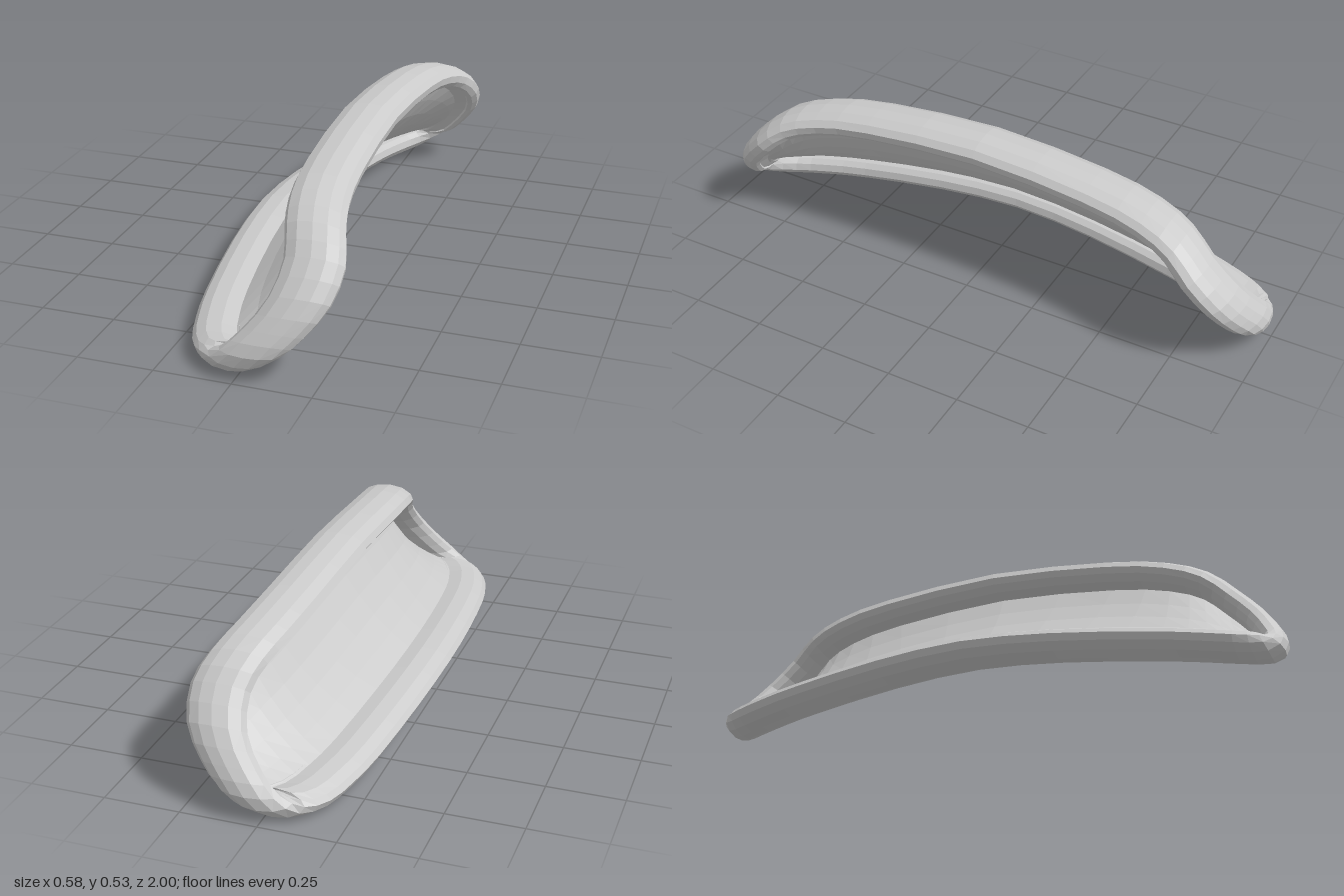
import * as THREE from 'three';

// Centre line of half the frame, from the top middle round the end to the bottom middle
const half = [
  [0.105, 0.49, 0], [0.115, 0.465, 0.4], [0.135, 0.435, 0.6], [0.165, 0.395, 0.72],
  [0.19, 0.33, 0.8], [0.17, 0.24, 0.88], [0.105, 0.15, 0.93], [0.04, 0.09, 0.953],
  [-0.03, 0.055, 0.935], [-0.085, 0.046, 0.86], [-0.12, 0.055, 0.75], [-0.15, 0.07, 0.6],
  [-0.183, 0.1, 0.3], [-0.197, 0.115, 0],
].map(p => new THREE.Vector3(...p));
const mirrored = half.slice(1, -1).reverse().map(p => new THREE.Vector3(p.x, p.y, -p.z));
const count = half.length + mirrored.length;
const path = new THREE.CatmullRomCurve3([...half, ...mirrored], true, 'catmullrom', 0.5);

// Frame cross-section: depth along x, and distance outward from the centre line
const section = [
  [-0.097, -0.002], [-0.085, 0.02], [-0.05, 0.038], [0, 0.045], [0.045, 0.04], [0.08, 0.026],
  [0.097, 0.005], [0.092, -0.02], [0.076, -0.036], [0.058, -0.038], [0.052, -0.032],
  [0, -0.041], [-0.05, -0.036], [-0.083, -0.02],
];

// Point on the frame at path index i, moved by depth and outward distance
function framePoint(i, depth, out) {
  const t = (((i / count) % 1) + 1) % 1;
  const p = path.getPoint(t);
  const tan = path.getTangent(t);
  const len = Math.hypot(tan.y, tan.z) || 1;
  return new THREE.Vector3(p.x + depth, p.y + out * tan.z / len, p.z - out * tan.y / len);
}

// Skin a grid of points, rows[i][j]
function loft(rows, closed) {
  const cols = rows[0].length;
  const index = [];
  const at = (i, j) => (i % rows.length) * cols + (j % cols);
  for (let i = 0; i < rows.length - (closed ? 0 : 1); i++) {
    for (let j = 0; j < cols - (closed ? 0 : 1); j++) {
      index.push(at(i, j), at(i + 1, j), at(i, j + 1), at(i, j + 1), at(i + 1, j), at(i + 1, j + 1));
    }
  }
  const geometry = new THREE.BufferGeometry().setFromPoints(rows.flat());
  geometry.setIndex(index);
  geometry.computeVertexNormals();
  return geometry;
}

export function createModel() {
  const group = new THREE.Group();
  group.name = 'goggles';

  // Padded frame running all the way round
  const rings = [];
  for (let i = 0; i < count * 2; i++) {
    rings.push(section.map(([d, r]) => framePoint(i / 2, d, r)));
  }
  const frame = new THREE.Mesh(
    loft(rings, true),
    new THREE.MeshStandardMaterial({ color: 0xcccccc, flatShading: true }),
  );
  frame.name = 'frame';
  group.add(frame);

  // Curved lens spanning the frame between matching top and bottom points
  const strips = [];
  const end = (half.length - 1) / 2;
  for (let i = -end; i <= end; i += 0.5) {
    const other = i < 0 ? -2 * end - i : 2 * end - i;
    const top = framePoint(i, 0.015, -0.034);
    const bottom = framePoint(other, 0.045, -0.03);
    const bulge = 0.07 * top.distanceTo(bottom);
    const strip = [];
    for (let j = 0; j <= 5; j++) {
      const t = j / 5;
      const p = bottom.clone().lerp(top, t);
      const b = bulge * 4 * t * (1 - t);
      strip.push(p.add(new THREE.Vector3(b * 0.74, -b * 0.67, 0)));
    }
    strips.push(strip);
  }
  const lens = new THREE.Mesh(
    loft(strips, false),
    new THREE.MeshStandardMaterial({ color: 0xcccccc, flatShading: true, side: THREE.DoubleSide }),
  );
  lens.name = 'lens';
  group.add(lens);

  return group;
}
